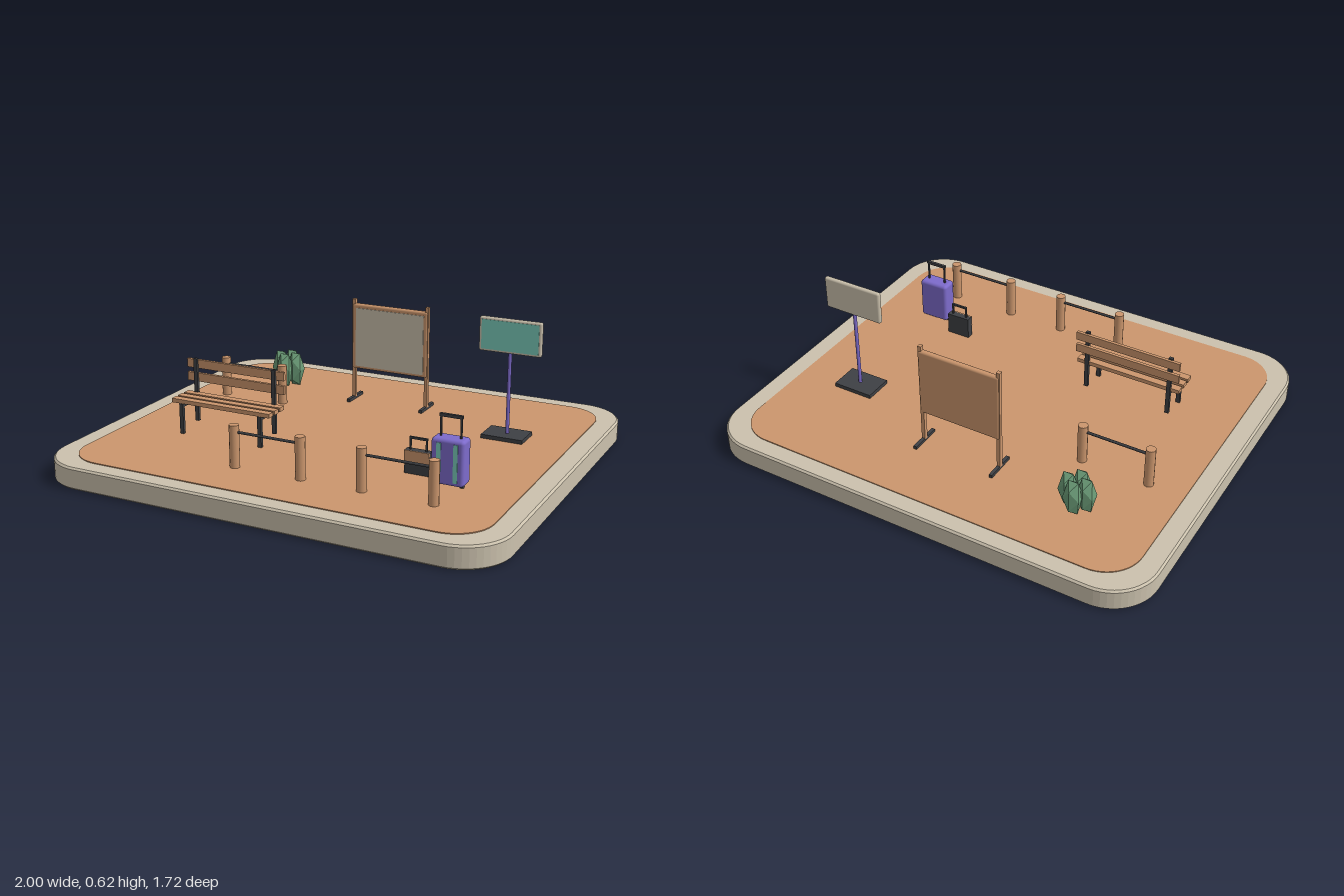
import * as THREE from 'three';
import { RoundedBoxGeometry } from 'three/addons/geometries/RoundedBoxGeometry.js';

const mat = (name, color) => Object.assign(new THREE.MeshStandardMaterial({ color }), { name });
const M = {
  stone: mat('stone', 0xcbc1ad),
  wood: mat('terracotta wood', 0xcb966d),
  dark: mat('charcoal metal', 0x3e4044),
  purple: mat('purple', 0x7d6bcb),
  teal: mat('teal', 0x7bcdbc),
  leaf: mat('leaf green', 0x6a9a76),
};
M.leaf.flatShading = true;

const GROUND = 0.1;

function add(parent, name, geometry, material, x = 0, y = 0, z = 0) {
  const mesh = new THREE.Mesh(geometry, material);
  mesh.name = name;
  mesh.position.set(x, y, z);
  parent.add(mesh);
  return mesh;
}

function group(parent, name, x = 0, y = 0, z = 0) {
  const g = new THREE.Group();
  g.name = name;
  g.position.set(x, y, z);
  parent.add(g);
  return g;
}

// box given by centre x and z, and bottom and top heights
const box = (p, name, m, w, d, y0, y1, x, z) =>
  add(p, name, new THREE.BoxGeometry(w, y1 - y0, d), m, x, (y0 + y1) / 2, z);

const softBox = (p, name, m, w, d, y0, y1, x, z, r) =>
  add(p, name, new RoundedBoxGeometry(w, y1 - y0, d, 2, r), m, x, (y0 + y1) / 2, z);

// horizontal slab with rounded corners and an optional bevel
function slab(halfX, halfZ, radius, height, bevel) {
  const a = halfX - bevel, b = halfZ - bevel, r = radius - bevel;
  const s = new THREE.Shape();
  s.absarc(a - r, b - r, r, 0, Math.PI / 2);
  s.absarc(r - a, b - r, r, Math.PI / 2, Math.PI);
  s.absarc(r - a, r - b, r, Math.PI, Math.PI * 1.5);
  s.absarc(a - r, r - b, r, Math.PI * 1.5, Math.PI * 2);
  const g = new THREE.ExtrudeGeometry(s, {
    depth: height - 2 * bevel, curveSegments: 6, bevelEnabled: bevel > 0,
    bevelSize: bevel, bevelThickness: bevel, bevelSegments: 1,
  });
  return g.rotateX(-Math.PI / 2).translate(0, bevel, 0);
}

// two posts joined by a thin rail
function barrier(root, x, z) {
  const g = group(root, 'barrier', x, 0, z);
  for (const side of [-1, 1]) {
    add(g, 'bollard', new THREE.CylinderGeometry(0.021, 0.021, 0.18, 12), M.wood, side * 0.15, GROUND + 0.09, 0);
  }
  const rail = new THREE.CylinderGeometry(0.006, 0.006, 0.27, 8).rotateZ(Math.PI / 2);
  add(g, 'rail', rail, M.dark, 0, 0.25, 0);
}

function bench(root) {
  const g = group(root, 'bench', -0.438, 0, 0);
  for (const z of [0.215, 0.262, 0.308]) box(g, 'seatSlat', M.wood, 0.48, 0.034, 0.235, 0.253, 0, z);
  for (const y of [0.3, 0.36]) box(g, 'backSlat', M.wood, 0.48, 0.014, y, y + 0.038, 0, 0.19);
  for (const x of [-0.193, 0.193]) {
    box(g, 'backPost', M.dark, 0.018, 0.014, 0.122, 0.405, x, 0.2);
    box(g, 'frontLeg', M.dark, 0.018, 0.014, GROUND, 0.235, x, 0.32);
    box(g, 'seatBearer', M.dark, 0.018, 0.125, 0.22, 0.235, x, 0.262);
  }
}

function noticeBoard(root) {
  const g = group(root, 'noticeBoard', -0.006, 0, -0.448);
  softBox(g, 'boardFrame', M.wood, 0.375, 0.026, 0.25, 0.557, 0, 0, 0.01);
  box(g, 'boardSheet', M.stone, 0.336, 0.006, 0.264, 0.538, 0, 0.013);
  for (const x of [-0.181, 0.181]) {
    box(g, 'boardPost', M.wood, 0.016, 0.018, 0.11, 0.577, x, 0);
    box(g, 'boardFoot', M.dark, 0.015, 0.138, GROUND, 0.114, x, -0.004);
  }
}

function sign(root) {
  const g = group(root, 'sign', 0.632, 0, -0.267);
  box(g, 'signBase', M.dark, 0.185, 0.13, GROUND, 0.117, -0.003, 0);
  add(g, 'signPole', new THREE.CylinderGeometry(0.008, 0.008, 0.38, 12), M.purple, 0, 0.295, 0);
  softBox(g, 'signPanel', M.stone, 0.278, 0.022, 0.47, 0.62, 0, 0, 0.01);
  box(g, 'signFace', M.teal, 0.253, 0.005, 0.481, 0.609, 0, 0.0105);
}

function suitcase(root) {
  const g = group(root, 'suitcase', 0.63, 0, 0.364);
  softBox(g, 'caseShell', M.purple, 0.138, 0.076, 0.114, 0.302, 0, 0, 0.014);
  for (const x of [-0.035, 0.035]) {
    box(g, 'caseStripe', M.teal, 0.018, 0.005, 0.13, 0.286, x, 0.038);
    box(g, 'handleRod', M.dark, 0.007, 0.007, 0.295, 0.385, x * 1.2, 0);
  }
  box(g, 'handleGrip', M.dark, 0.095, 0.012, 0.381, 0.394, 0, 0);
  for (const x of [-0.05, 0.05]) {
    const wheel = new THREE.CylinderGeometry(0.011, 0.011, 0.014, 12).rotateZ(Math.PI / 2);
    add(g, 'caseWheel', wheel, M.dark, x, GROUND + 0.011, 0);
  }
}

function bag(root) {
  const g = group(root, 'bag', 0.467, 0, 0.298);
  box(g, 'bagBody', M.dark, 0.108, 0.032, GROUND, 0.198, 0, 0);
  box(g, 'bagFlap', M.wood, 0.108, 0.006, 0.15, 0.198, 0, 0.017);
  for (const x of [-0.035, 0.035]) box(g, 'bagStrap', M.dark, 0.007, 0.007, 0.195, 0.25, x, 0);
  box(g, 'bagGrip', M.dark, 0.077, 0.009, 0.243, 0.252, 0, 0);
}

// four tall faceted clumps
function shrub(root) {
  const g = group(root, 'shrub', -0.57, 0.181, -0.504);
  for (let i = 0; i < 4; i++) {
    const a = i * Math.PI / 2;
    const clump = new THREE.IcosahedronGeometry(0.042, 0).scale(1, 2.17, 1);
    add(g, 'clump', clump, M.leaf, Math.cos(a) * 0.04, 0, Math.sin(a) * 0.037);
  }
}

export function createModel() {
  const root = new THREE.Group();
  root.name = 'plaza';
  add(root, 'base', slab(1, 0.862, 0.2, 0.096, 0.008), M.stone);
  add(root, 'paving', slab(0.912, 0.783, 0.16, 0.01, 0), M.wood, 0, 0.09, 0);
  barrier(root, -0.603, -0.237);
  barrier(root, -0.07, 0.563);
  barrier(root, 0.497, 0.563);
  bench(root);
  noticeBoard(root);
  sign(root);
  suitcase(root);
  bag(root);
  shrub(root);
  return root;
}
